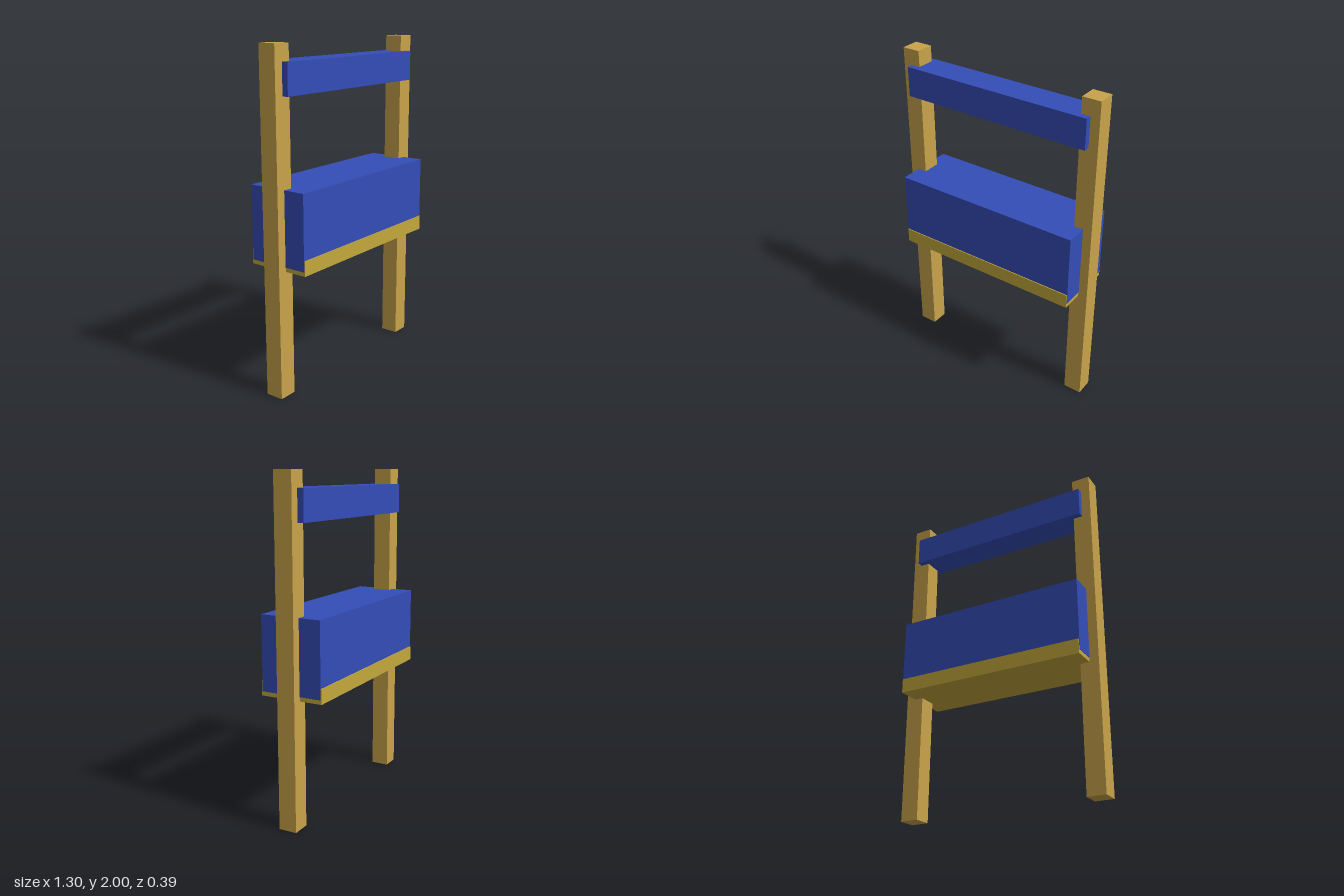
import * as THREE from 'three';

export function createModel() {
  const model = new THREE.Group();
  const wood = new THREE.MeshStandardMaterial({ color: 0xc8a34a });
  wood.name = 'wood';
  const ochre = new THREE.MeshStandardMaterial({ color: 0xc4a83c });
  ochre.name = 'ochre';
  const blue = new THREE.MeshStandardMaterial({ color: 0x344db7 });
  blue.name = 'blue';

  // Box centred on z, spanning y0 to y1
  function addBox(name, material, x, width, y0, y1, depth) {
    const mesh = new THREE.Mesh(new THREE.BoxGeometry(width, y1 - y0, depth), material);
    mesh.position.set(x, (y0 + y1) / 2, 0);
    mesh.name = name;
    model.add(mesh);
  }

  // Upright posts
  for (const side of [-1, 1]) {
    addBox(side > 0 ? 'leftPost' : 'rightPost', wood, side * 0.592, 0.112, 0, 2, 0.11);
  }

  // Top rail, main panel and the tray it sits in
  addBox('topRail', blue, 0, 1.184, 1.725, 1.905, 0.184);
  addBox('mainPanel', blue, 0, 1.186, 0.78, 1.22, 0.375);
  addBox('panelTray', ochre, 0, 1.182, 0.755, 0.843, 0.386);

  return model;
}
